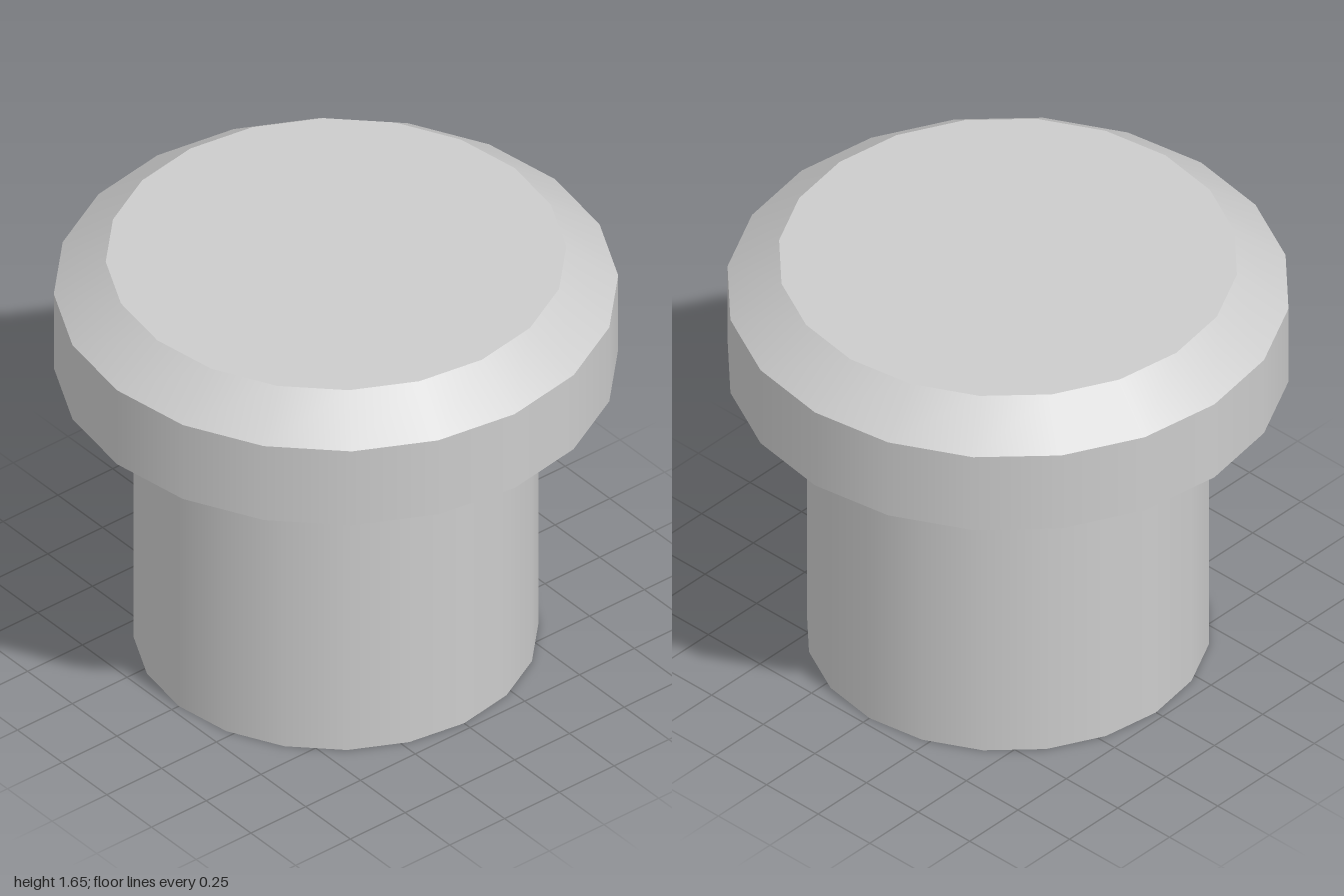
import * as THREE from 'three';

const SIDES = 20;

export function createModel() {
  const group = new THREE.Group();
  const smooth = new THREE.MeshStandardMaterial({ color: 0xcccccc });
  const faceted = new THREE.MeshStandardMaterial({ color: 0xcccccc, flatShading: true });

  // One ring of side faces between two heights
  function band(name, rBottom, rTop, y0, y1, material = smooth) {
    const geometry = new THREE.CylinderGeometry(rTop, rBottom, y1 - y0, SIDES, 1, true);
    const mesh = new THREE.Mesh(geometry, material);
    mesh.name = name;
    mesh.position.y = (y0 + y1) / 2;
    group.add(mesh);
  }

  // Flat disc facing up (dir = 1) or down (dir = -1)
  function cap(name, radius, y, dir) {
    const geometry = new THREE.CircleGeometry(radius, SIDES).rotateX(-dir * Math.PI / 2);
    const mesh = new THREE.Mesh(geometry, smooth);
    mesh.name = name;
    mesh.position.y = y;
    group.add(mesh);
  }

  // Stem
  cap('stemBase', 0.717, 0, -1);
  band('stem', 0.717, 0.717, 0, 1.057);

  // Head: faceted underside, straight rim, bevelled shoulder, flat top
  band('headUnderside', 0.717, 1, 1.057, 1.192, faceted);
  band('headRim', 1, 1, 1.192, 1.516);
  band('headBevel', 1, 0.816, 1.516, 1.65);
  cap('headTop', 0.816, 1.65, 1);

  return group;
}
